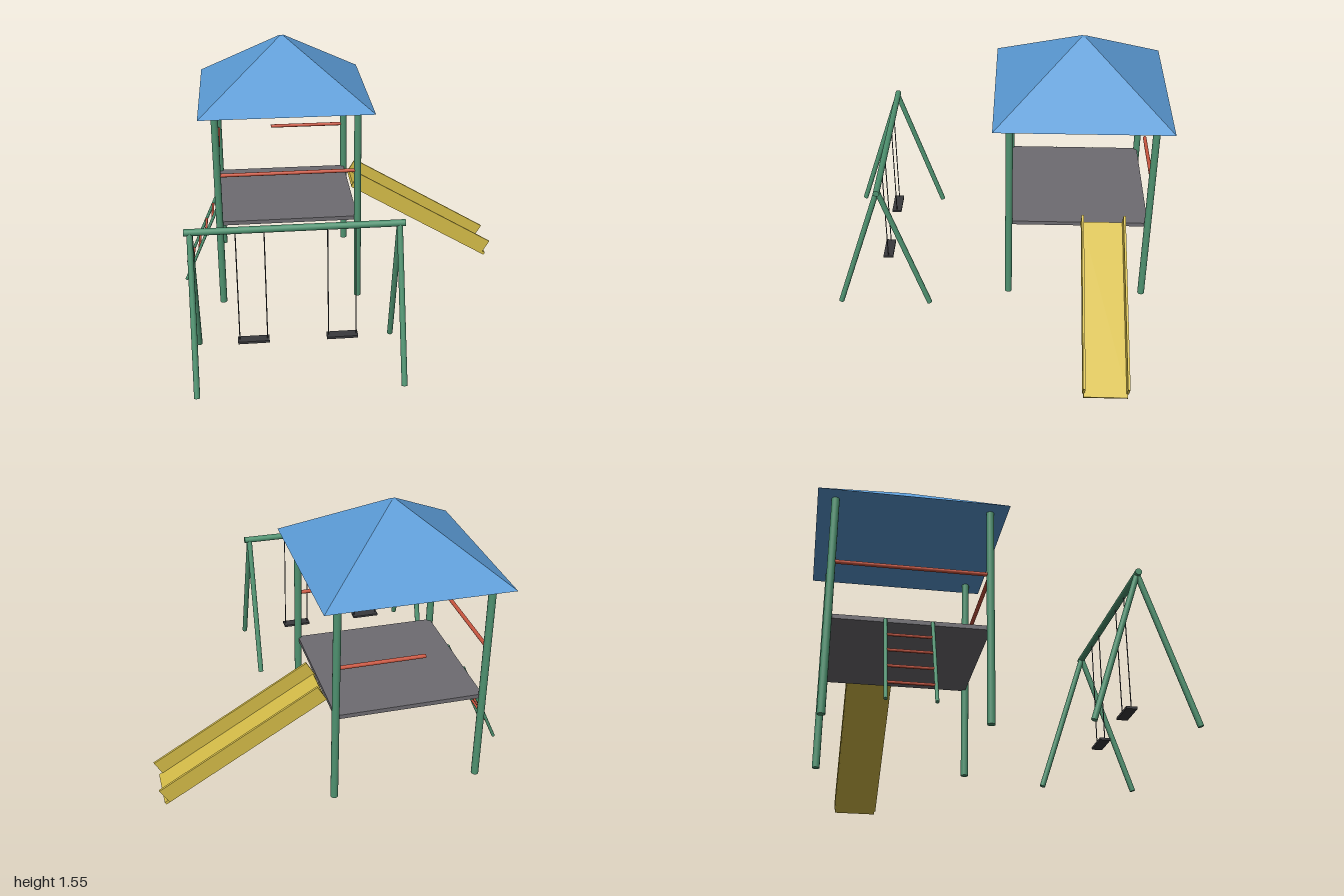
import * as THREE from 'three';

const mat = (name, hex) => {
  const m = new THREE.MeshStandardMaterial({ color: hex });
  m.name = name;
  return m;
};

export function createModel() {
  const green = mat('green frame', 0x4f9270);
  const blue = mat('blue roof', 0x5b9bd5);
  const yellow = mat('yellow slide', 0xd4bc48);
  const red = mat('red rails', 0xc8553f);
  const grey = mat('grey deck', 0x6e6c71);
  const dark = mat('dark swing', 0x3a3a3d);

  const model = new THREE.Group();
  model.name = 'playground';

  const group = (name) => {
    const g = new THREE.Group();
    g.name = name;
    model.add(g);
    return g;
  };
  const box = (parent, name, w, h, d, x, y, z, material) => {
    const m = new THREE.Mesh(new THREE.BoxGeometry(w, h, d), material);
    m.name = name;
    m.position.set(x, y, z);
    parent.add(m);
    return m;
  };
  // Round bar between two points
  const bar = (parent, name, a, b, r, material, sides = 16) => {
    const from = new THREE.Vector3(...a), to = new THREE.Vector3(...b);
    const dir = to.clone().sub(from);
    const m = new THREE.Mesh(new THREE.CylinderGeometry(r, r, dir.length(), sides), material);
    m.name = name;
    m.position.copy(from).add(to).multiplyScalar(0.5);
    m.quaternion.setFromUnitVectors(new THREE.Vector3(0, 1, 0), dir.normalize());
    parent.add(m);
  };

  // Tower: posts, deck, rails and hipped roof
  const tower = group('tower');
  const cx = -0.341, cz = -0.474, half = 0.413;
  const x0 = cx - half, x1 = cx + half, z0 = cz - half, z1 = cz + half;
  for (const x of [x0, x1])
    for (const z of [z0, z1]) bar(tower, 'post', [x, 0, z], [x, 1.215, z], 0.021, green);
  box(tower, 'deck', 2 * half, 0.024, 2 * half, cx, 0.525, cz, grey);

  const railY = 0.835;
  bar(tower, 'frontRail', [x0, railY, z1], [x1, railY, z1], 0.011, red);
  bar(tower, 'sideRail', [x0, railY, z0], [x0, railY, z1], 0.011, red);
  bar(tower, 'backRail', [-0.41, railY, z0], [x1, railY, z0], 0.011, red);

  const roofGeo = new THREE.CylinderGeometry(0.018, 0.507 * Math.SQRT2, 0.345, 4, 1).toNonIndexed();
  roofGeo.computeVertexNormals();
  roofGeo.rotateY(Math.PI / 4);
  const roof = new THREE.Mesh(roofGeo, blue);
  roof.name = 'roof';
  roof.position.set(cx, 1.3825, cz);
  tower.add(roof);

  // Slide: tilted bed with two side walls, local x runs downhill
  const slide = group('slide');
  slide.position.set(0.51, 0.29, -0.617);
  slide.rotation.z = -Math.atan2(0.515, 0.857);
  box(slide, 'slideBed', 1.04, 0.018, 0.245, 0.026, 0.005, 0, yellow);
  for (const s of [-1, 1])
    box(slide, 'slideWall', 1.023, 0.1, 0.013, 0.011, 0.05, s * 0.122, yellow);

  // Ladder: two stringers and four rungs
  const ladder = group('ladder');
  const ladderZ = [-0.6, -0.36];
  const foot = [-0.991, 0.005], head = [-0.76, 0.525];
  for (const z of ladderZ) bar(ladder, 'ladderRail', [...foot, z], [...head, z], 0.0095, green, 12);
  for (let i = 1; i <= 4; i++) {
    const t = i / 5;
    const x = foot[0] + (head[0] - foot[0]) * t, y = foot[1] + (head[1] - foot[1]) * t;
    bar(ladder, 'rung', [x, y, ladderZ[0]], [x, y, ladderZ[1]], 0.0075, red, 12);
  }

  // Swing set: top bar, splayed legs, two swings
  const swings = group('swingSet');
  const sz = 0.692, barY = 0.835;
  bar(swings, 'topBar', [-0.921, barY, sz], [0.238, barY, sz], 0.0185, green);
  for (const x of [-0.889, 0.207])
    for (const s of [-1, 1])
      bar(swings, 'swingLeg', [x, 0.005, sz + s * 0.272], [x, barY, sz], 0.016, green);
  for (const x of [-0.581, -0.099]) {
    box(swings, 'swingSeat', 0.17, 0.013, 0.06, x, 0.175, sz, dark);
    for (const s of [-1, 1])
      bar(swings, 'rope', [x + s * 0.075, 0.175, sz], [x + s * 0.075, barY, sz], 0.003, dark, 8);
  }

  return model;
}
